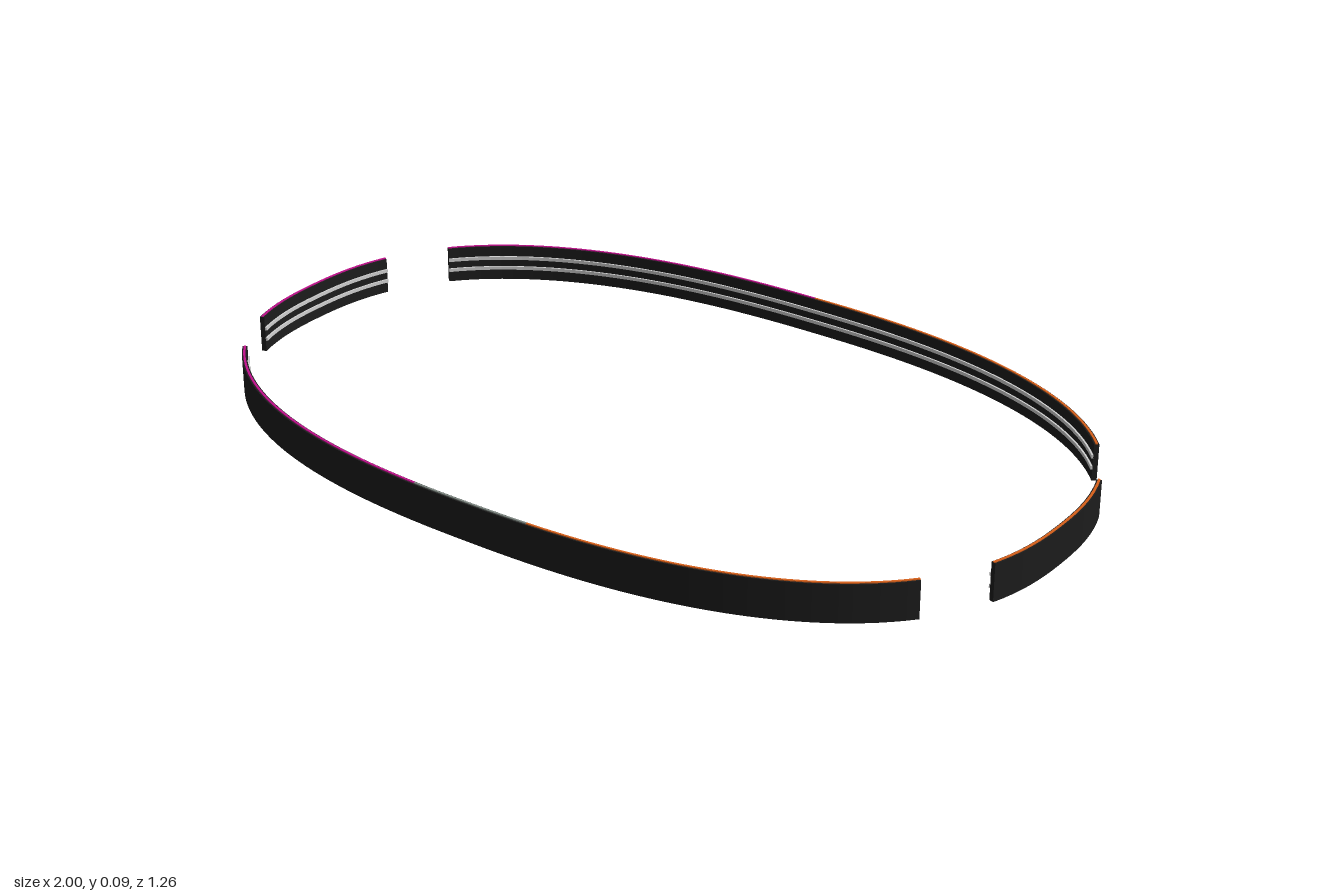
import * as THREE from 'three';

const A = 1, B = 0.632, N = 2.4; // superellipse plan
const H = 0.085;
const rad = THREE.MathUtils.degToRad;

// Plan point at a polar angle, moved inward along the curve normal
function planPoint(t, inset) {
  const c = Math.cos(t), s = Math.sin(t);
  const r = Math.pow(Math.pow(Math.abs(c) / A, N) + Math.pow(Math.abs(s) / B, N), -1 / N);
  const x = r * c, y = r * s;
  const normal = new THREE.Vector2(
    Math.sign(x) * Math.pow(Math.abs(x) / A, N - 1) / A,
    Math.sign(y) * Math.pow(Math.abs(y) / B, N - 1) / B
  ).normalize();
  return new THREE.Vector2(x, y).addScaledVector(normal, -inset);
}

// Curved band between two angles (degrees), two insets and two heights
function band(from, to, outer, inner, y0, y1) {
  const steps = Math.max(8, Math.ceil((to - from) / 1.5));
  const outside = [], inside = [];
  for (let i = 0; i <= steps; i++) {
    const t = rad(from + (to - from) * i / steps);
    outside.push(planPoint(t, outer));
    inside.push(planPoint(t, inner));
  }
  const shape = new THREE.Shape([...outside, ...inside.reverse()]);
  const g = new THREE.ExtrudeGeometry(shape, { depth: y1 - y0, bevelEnabled: false });
  g.rotateX(-Math.PI / 2);
  g.translate(0, y0, 0);
  return g;
}

export function createModel() {
  const model = new THREE.Group();
  model.name = 'barrierRing';
  const mat = (name, color) => {
    const m = new THREE.MeshStandardMaterial({ color });
    m.name = name;
    return m;
  };
  const black = mat('black', 0x1c1c1c);
  const white = mat('paleGrey', 0xd0d0d0);
  const magenta = mat('magenta', 0xc0108c);
  const orange = mat('orange', 0xd8601a);
  const grey = mat('grey', 0x7c8580);

  const add = (parent, name, geometry, material) => {
    const mesh = new THREE.Mesh(geometry, material);
    mesh.name = name;
    parent.add(mesh);
  };

  // Each section: angle range and the coloured runs along its top edge
  const END = 21.75, SIDE = 12.5;
  const sections = [
    ['leftSection', -SIDE, SIDE, [[-SIDE, SIDE, orange]]],
    ['backSection', END, 180 - END, [[END, 90, orange], [90, 180 - END, magenta]]],
    ['rightSection', 180 - SIDE, 180 + SIDE, [[180 - SIDE, 180 + SIDE, magenta]]],
    ['frontSection', 180 + END, 360 - END,
      [[180 + END, 257, magenta], [257, 283, grey], [283, 360 - END, orange]]],
  ];

  for (const [name, from, to, runs] of sections) {
    const section = new THREE.Group();
    section.name = name;
    // Upright wall
    add(section, 'wall', band(from, to, 0, 0.011, 0, H), black);
    // Two pale rails on the inner face
    for (const y of [0.03, 0.056]) {
      add(section, 'innerRail', band(from, to, 0.0105, 0.015, y - 0.004, y + 0.004), white);
    }
    // Coloured strip on the top edge
    for (const [a, b, material] of runs) {
      add(section, 'topStrip', band(a, b, 0.003, 0.008, H, H + 0.002), material);
    }
    model.add(section);
  }
  return model;
}
